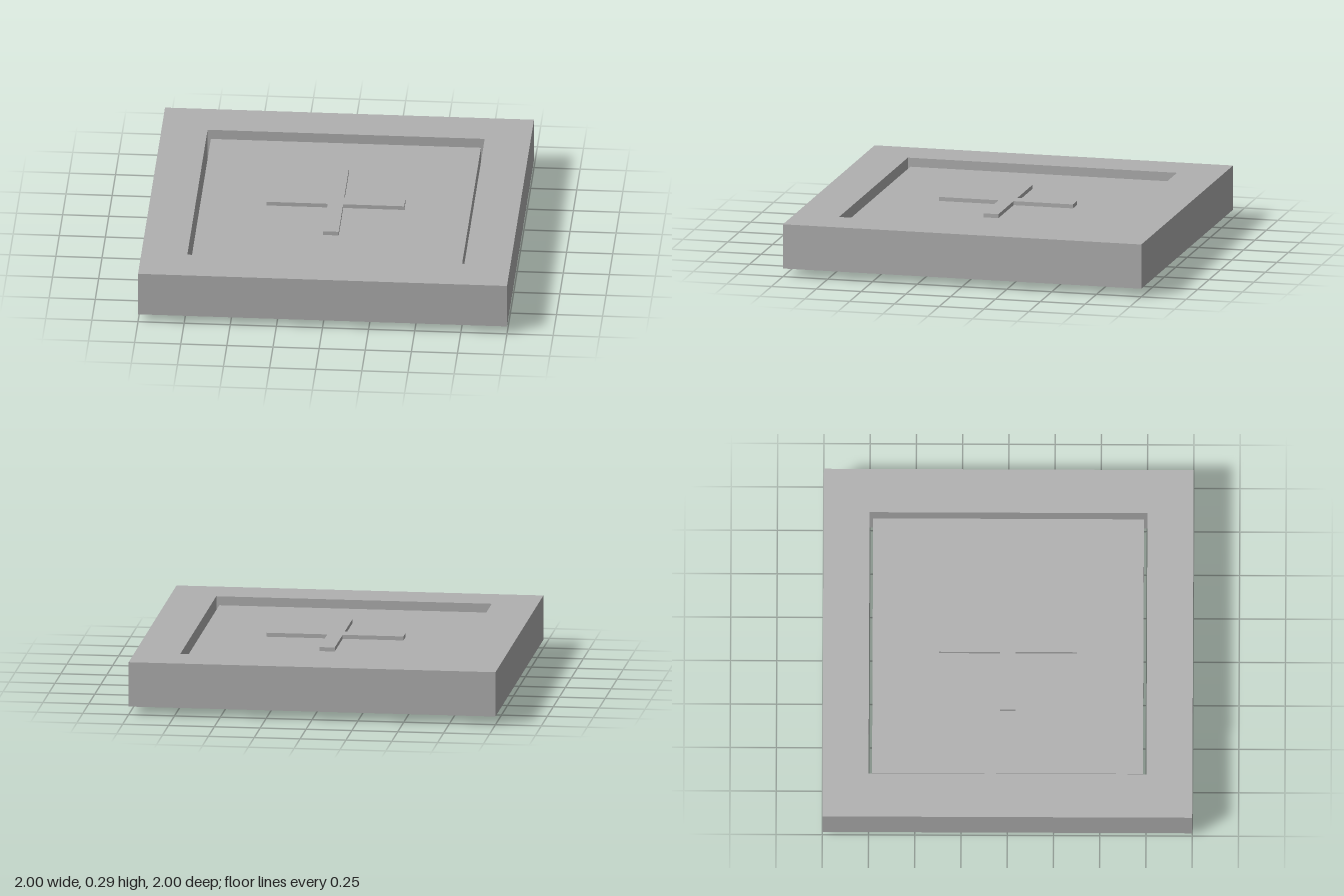
import * as THREE from 'three';

const THICKNESS = 0.245; // frame and panel share one thickness
const DROP = 0.045; // how far the panel hangs below the frame

// Closed outline from corner points
function outline(points, Type = THREE.Shape) {
  return new Type(points.map(([x, y]) => new THREE.Vector2(x, y)));
}

const square = (h) => [[-h, -h], [h, -h], [h, h], [-h, h]];

// Flat slab: a shape extruded upwards from height y
function slab(name, shape, y, height, material) {
  const geometry = new THREE.ExtrudeGeometry(shape, { depth: height, bevelEnabled: false });
  geometry.rotateX(-Math.PI / 2);
  const mesh = new THREE.Mesh(geometry, material);
  mesh.name = name;
  mesh.position.y = y;
  return mesh;
}

export function createModel() {
  const model = new THREE.Group();
  model.name = 'framedPanel';
  const grey = new THREE.MeshStandardMaterial({ color: 0xb0b0b0 });
  grey.name = 'grey';

  // Square frame with a square opening
  const frame = outline(square(1));
  frame.holes.push(outline(square(0.751).reverse(), THREE.Path));
  model.add(slab('frame', frame, DROP, THICKNESS, grey));

  // Panel set low in the opening with a narrow gap all round
  model.add(slab('panel', outline(square(0.732)), 0, THICKNESS, grey));

  // Raised cross: one arm's corners repeated around the centre
  const arm = 0.373;
  const half = 0.042;
  const corners = [];
  for (let i = 0; i < 4; i++) {
    const c = Math.round(Math.cos(i * Math.PI / 2));
    const s = Math.round(Math.sin(i * Math.PI / 2));
    for (const [x, y] of [[arm, -half], [arm, half], [half, half]]) {
      corners.push([x * c - y * s, x * s + y * c]);
    }
  }
  model.add(slab('cross', outline(corners), THICKNESS, 0.022, grey));

  return model;
}
